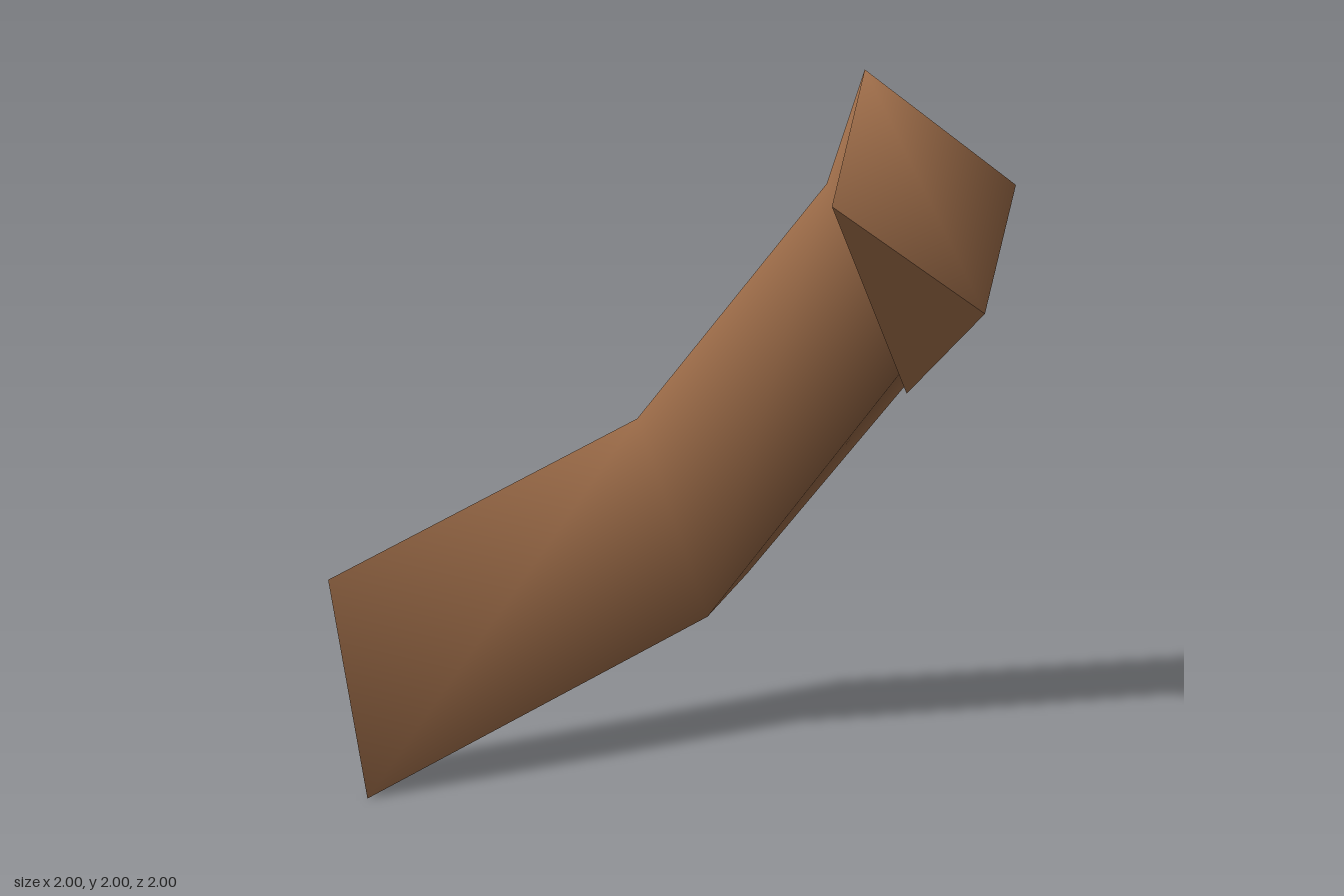
import * as THREE from 'three';

// Triangular cross-sections along the bend: upper edge, inner lower edge, outer lower edge
const SECTIONS = [
  [[-1.0, 0.55, 0.38], [-0.88, 0, 0.39], [-0.97, 0, 0.1]],
  [[-0.58, 0.82, -0.42], [-0.4, 0.32, -0.46], [-0.48, 0.33, -0.79]],
  [[-0.15, 1.45, -0.62], [0.05, 0.98, -0.64], [0.04, 1.05, -1.0]],
  [[0.33, 2, 0], [0.47, 1.47, -0.12], [0.53, 1.62, -0.4]],
  [[0.83, 2, 1], [0.91, 1.46, 0.77], [1.0, 1.62, 0.54]],
];

function meshFrom(points, index, material, name) {
  const geometry = new THREE.BufferGeometry();
  geometry.setAttribute('position', new THREE.Float32BufferAttribute(points.flat(), 3));
  geometry.setIndex(index);
  geometry.computeVertexNormals();
  const mesh = new THREE.Mesh(geometry, material);
  mesh.name = name;
  return mesh;
}

export function createModel() {
  const group = new THREE.Group();
  group.name = 'bentBranch';
  const bark = new THREE.MeshStandardMaterial({ color: 0x9a6a47 });
  bark.name = 'barkBrown';

  // Smooth skin joining neighbouring sections
  const index = [];
  for (let i = 0; i < SECTIONS.length - 1; i++) {
    for (let j = 0; j < 3; j++) {
      const a = i * 3 + j;
      const b = i * 3 + ((j + 1) % 3);
      index.push(a, b, a + 3, b, b + 3, a + 3);
    }
  }
  group.add(meshFrom(SECTIONS.flat(), index, bark, 'branchSkin'));

  // Flat ends
  group.add(meshFrom(SECTIONS[0], [0, 2, 1], bark, 'lowerEnd'));
  group.add(meshFrom(SECTIONS[SECTIONS.length - 1], [0, 1, 2], bark, 'upperEnd'));
  return group;
}
